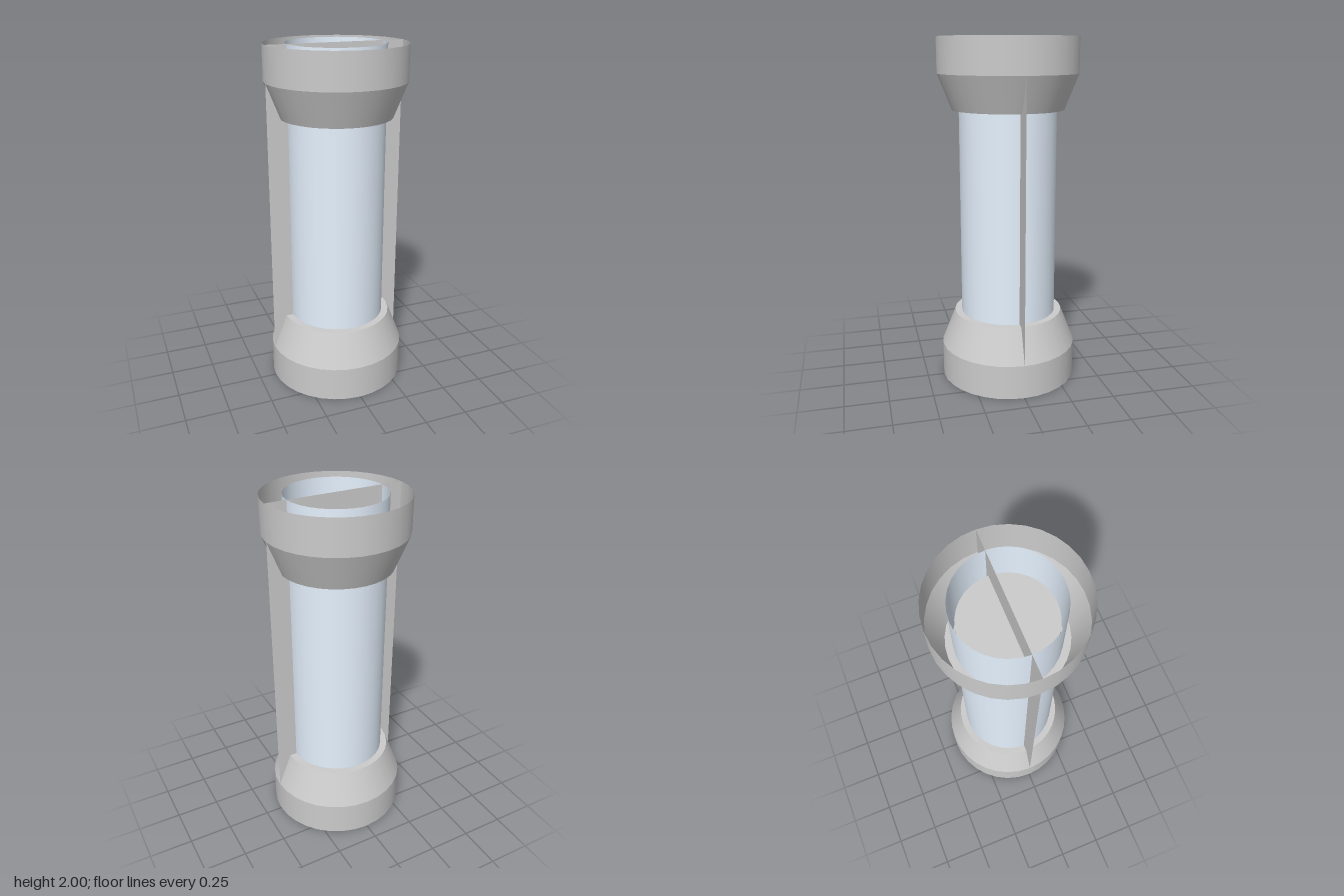
import * as THREE from 'three';

const SIDES = 32;
const grey = new THREE.MeshStandardMaterial({ color: 0xcccccc, side: THREE.DoubleSide });
const glass = new THREE.MeshStandardMaterial({ color: 0xe6f2ff, side: THREE.DoubleSide });

function add(parent, name, geometry, material, y) {
  const mesh = new THREE.Mesh(geometry, material);
  mesh.name = name;
  mesh.position.y = y;
  parent.add(mesh);
  return mesh;
}

// Open-ended shell between two radii
const shell = (top, bottom, height) =>
  new THREE.CylinderGeometry(top, bottom, height, SIDES, 1, true);

// End collar: straight band, taper and the flat lip around the tube
function createCollar(name) {
  const collar = new THREE.Group();
  collar.name = name;
  add(collar, 'collarBand', shell(0.4, 0.4, 0.2), grey, 0.1);
  add(collar, 'collarTaper', shell(0.32, 0.4, 0.2), grey, 0.3);
  const lip = new THREE.RingGeometry(0.256, 0.32, SIDES).rotateX(-Math.PI / 2);
  add(collar, 'collarLip', lip, grey, 0.4);
  return collar;
}

export function createModel() {
  const model = new THREE.Group();
  model.name = 'tubeWithCollars';

  // Lower collar, and the same one turned over for the top
  model.add(createCollar('lowerCollar'));
  const upper = createCollar('upperCollar');
  upper.rotation.x = Math.PI;
  upper.position.y = 2;
  model.add(upper);

  // Open tube running the full height
  add(model, 'tube', shell(0.28, 0.28, 2), glass, 1);

  // Closed core inside the tube, stopping short of both ends
  add(model, 'innerCore', new THREE.CylinderGeometry(0.256, 0.256, 1.6, SIDES), grey, 1);

  // Thin dividing panel through the middle
  add(model, 'dividingPanel', new THREE.PlaneGeometry(0.8, 2), grey, 1);

  return model;
}
